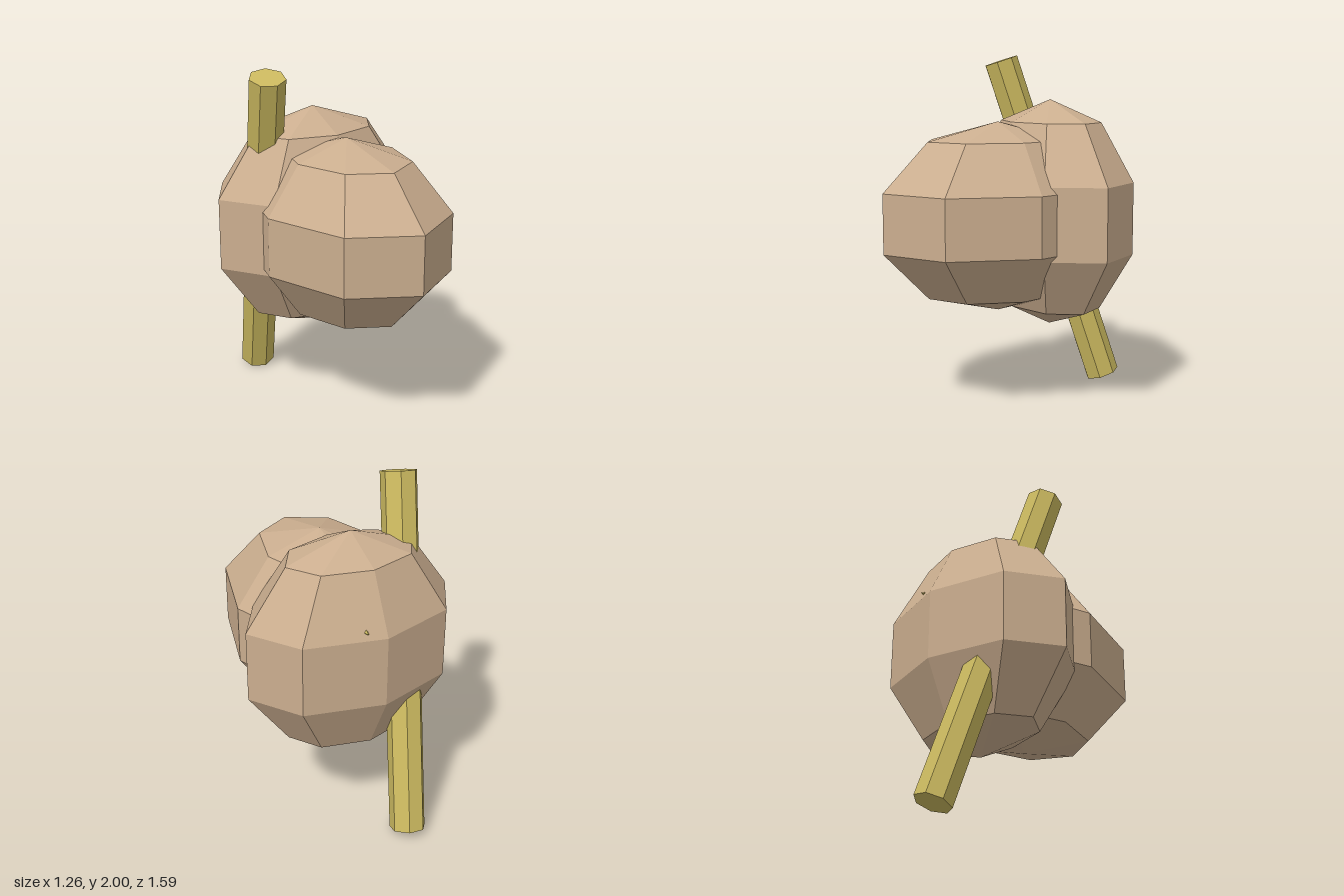
import * as THREE from 'three';

export function createModel() {
  const model = new THREE.Group();
  const tan = new THREE.MeshStandardMaterial({ color: 0xcbae8f, flatShading: true });
  tan.name = 'tan';
  const straw = new THREE.MeshStandardMaterial({ color: 0xcab85f, flatShading: true });
  straw.name = 'straw';

  const add = (name, geometry, material, position) => {
    const mesh = new THREE.Mesh(geometry, material);
    mesh.name = name;
    mesh.position.set(...position);
    model.add(mesh);
    return mesh;
  };

  // Faceted, stretched spheres that overlap
  const blob = (name, radii, position) =>
    add(name, new THREE.SphereGeometry(1, 8, 5).scale(...radii), tan, position);
  blob('backBody', [0.66, 0.66, 0.426], [0, 1.09, -0.24]);
  blob('frontBody', [0.542, 0.542, 0.736], [0, 1.088, 0.1]);

  // Slanted seven-sided stick running through the back body
  const top = new THREE.Vector3(-0.375, 1.97, -0.11);
  const bottom = new THREE.Vector3(-0.135, 0.032, -0.7);
  const axis = top.clone().sub(bottom);
  const middle = top.clone().add(bottom).multiplyScalar(0.5);
  const stick = add('stick', new THREE.CylinderGeometry(0.104, 0.104, axis.length(), 7), straw, middle.toArray());
  stick.quaternion.setFromUnitVectors(new THREE.Vector3(0, 1, 0), axis.normalize());

  // Tiny tip that just breaks through the back
  const tip = add('tip', new THREE.ConeGeometry(0.03, 0.06, 4), straw, [0.105, 1.335, -0.59]);
  tip.rotation.x = -Math.PI / 2;

  return model;
}
